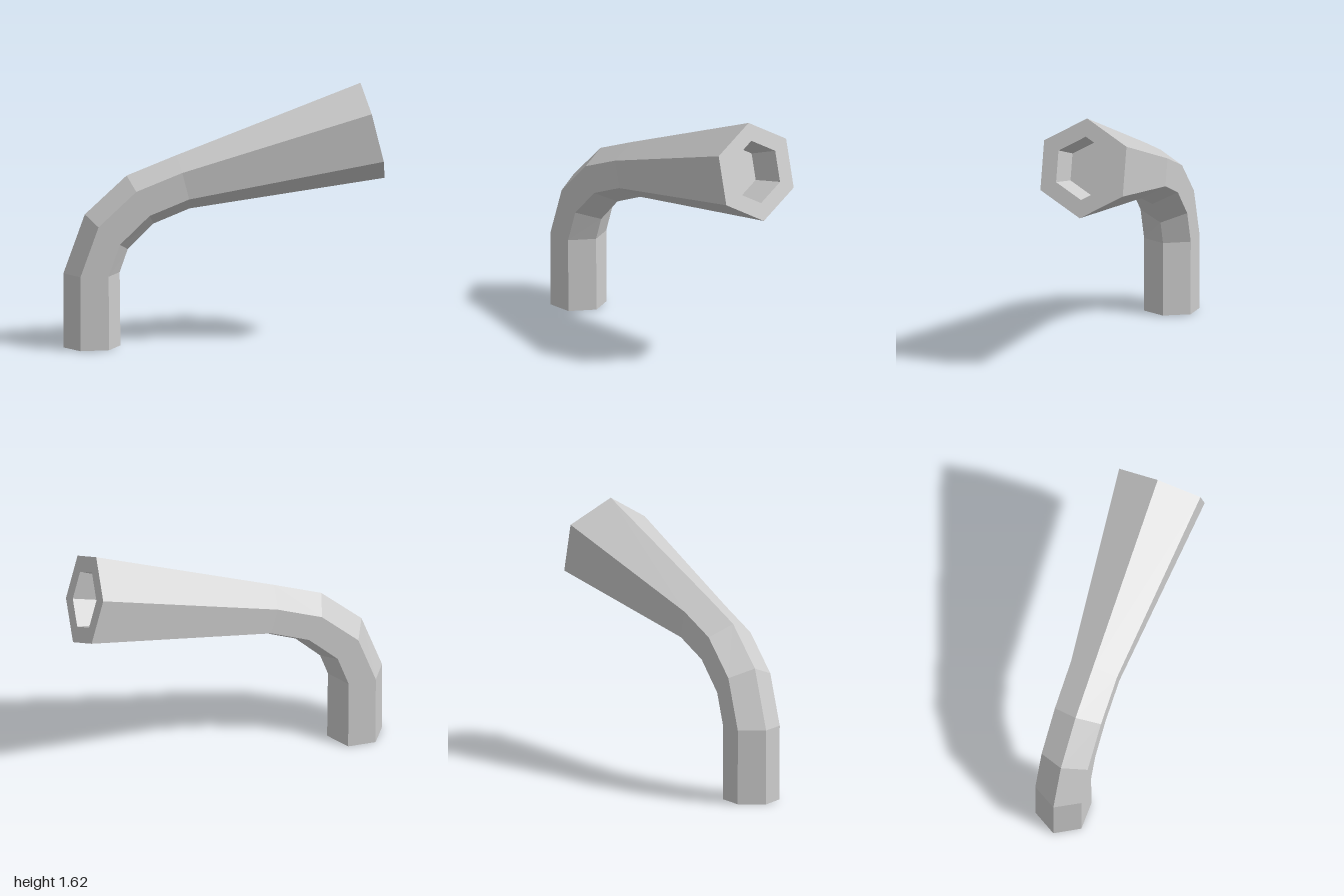
import * as THREE from 'three';

// Hexagonal ring: outer and inner corner in the xy plane, plus radius along z
function ring(ox, oy, ix, iy, rz) {
  const centre = new THREE.Vector3((ox + ix) / 2, (oy + iy) / 2, 0);
  const u = new THREE.Vector3((ox - ix) / 2, (oy - iy) / 2, 0);
  return Array.from({ length: 6 }, (_, j) => {
    const a = (j * Math.PI) / 3;
    return centre.clone().addScaledVector(u, Math.cos(a)).add(new THREE.Vector3(0, 0, Math.sin(a) * rz));
  });
}

// Joins successive rings with flat faces, optionally capping either end
function loft(rings, capStart, capEnd) {
  const pos = [];
  const tri = (...pts) => pts.forEach((p) => pos.push(p.x, p.y, p.z));
  const centreOf = (r) => r[0].clone().add(r[3]).multiplyScalar(0.5);
  const last = rings[rings.length - 1];
  for (let j = 0; j < 6; j++) {
    const k = (j + 1) % 6;
    for (let i = 0; i < rings.length - 1; i++) {
      const a = rings[i], b = rings[i + 1];
      tri(a[j], a[k], b[k]);
      tri(a[j], b[k], b[j]);
    }
    if (capStart) tri(centreOf(rings[0]), rings[0][k], rings[0][j]);
    if (capEnd) tri(last[j], last[k], centreOf(last));
  }
  const geo = new THREE.BufferGeometry();
  geo.setAttribute('position', new THREE.Float32BufferAttribute(pos, 3));
  geo.computeVertexNormals();
  return geo;
}

export function createModel() {
  const group = new THREE.Group();
  const grey = new THREE.MeshStandardMaterial({ color: 0xcccccc });
  grey.name = 'lightGrey';
  const add = (name, geo) => {
    const mesh = new THREE.Mesh(geo, grey);
    mesh.name = name;
    group.add(mesh);
  };

  const neck = ring(-0.3, 1.19, -0.215, 0.855, 0.175);
  const mouth = ring(0.848, 1.62, 0.998, 1.02, 0.309);

  // Upright stem and curved elbow
  add('bentStem', loft([
    ring(-1, 0, -0.645, 0.005, 0.175),
    ring(-1, 0.465, -0.65, 0.465, 0.175),
    ring(-0.867, 0.832, -0.6, 0.608, 0.175),
    ring(-0.607, 1.07, -0.44, 0.765, 0.175),
    neck,
  ], true, false));

  // Flared arm
  add('flaredArm', loft([neck, mouth], false, false));

  // End rim and tapered hexagonal recess, scaled about the mouth centre
  const centre = mouth[0].clone().add(mouth[3]).multiplyScalar(0.5);
  const inset = (scale, depth) => mouth.map((p) => p.clone().sub(centre).multiplyScalar(scale)
    .add(centre).add(new THREE.Vector3(-0.97 * depth, -0.2425 * depth, 0)));
  const holeEdge = inset(0.635, 0);
  add('endRim', loft([mouth, holeEdge], false, false));
  add('recess', loft([holeEdge, inset(0.54, 0.21)], false, true));

  return group;
}
